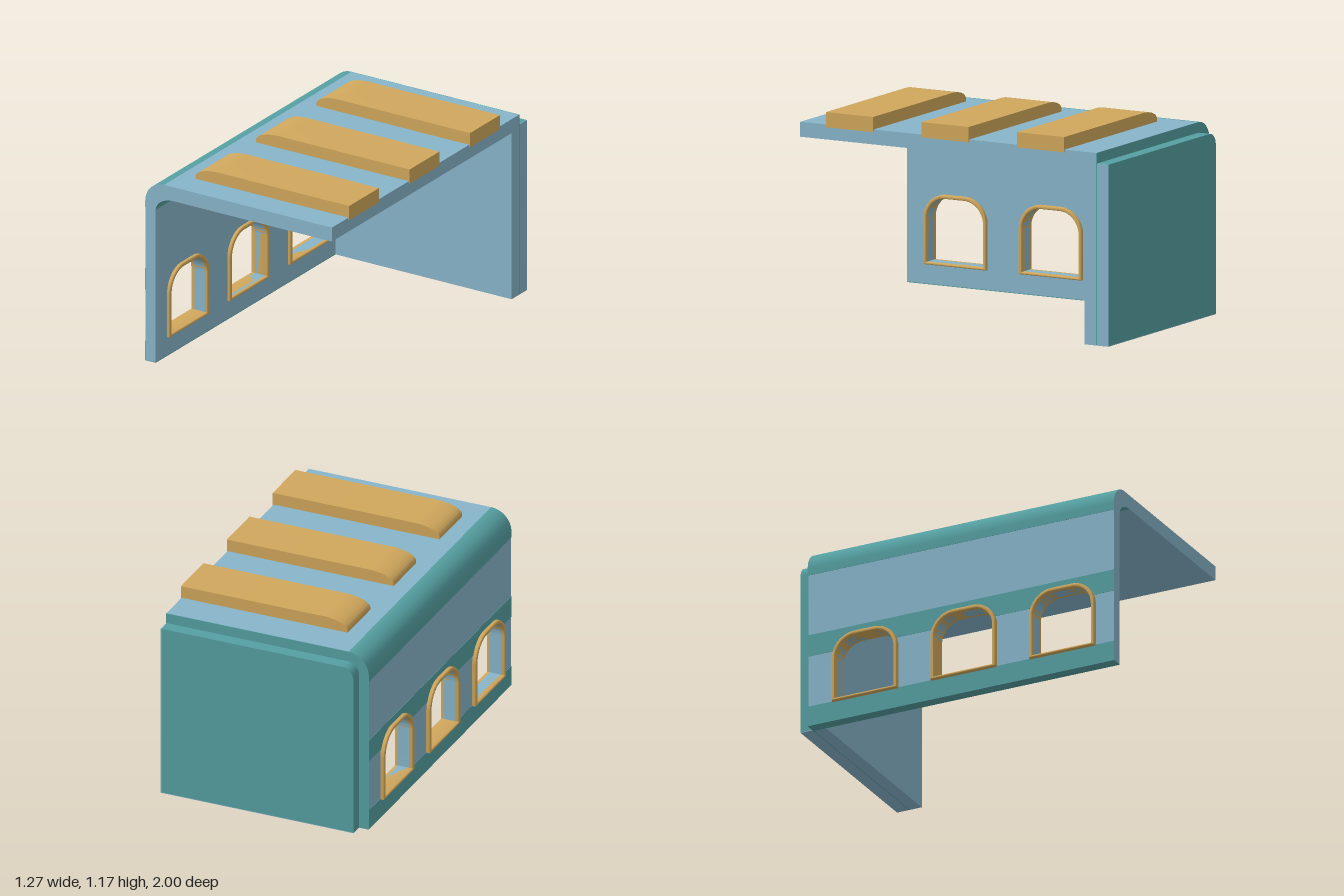
import * as THREE from 'three';
import { toCreasedNormals } from 'three/addons/utils/BufferGeometryUtils.js';

const blue = new THREE.MeshStandardMaterial({ color: 0x87b5ca });
const teal = new THREE.MeshStandardMaterial({ color: 0x559fa1 });
const tan = new THREE.MeshStandardMaterial({ color: 0xd0a75c });

const X0 = -0.615, X1 = 0.63;         // outer wall face, open edge
const WALL_IN = -0.545;               // inner wall face
const TOP = 1.095, CEIL = 1.01;       // roof top and underside
const Z0 = -0.925, Z1 = 1, SKIN = 0.004;
const BAYS = [0.68, 0.06, -0.56];     // window and rib centres along z

function add(parent, name, geometry, material) {
  const mesh = new THREE.Mesh(geometry, material);
  mesh.name = name;
  parent.add(mesh);
  return mesh;
}

function box(x0, x1, y0, y1, z0, z1) {
  return new THREE.BoxGeometry(x1 - x0, y1 - y0, z1 - z0)
    .translate((x0 + x1) / 2, (y0 + y1) / 2, (z0 + z1) / 2);
}

// Front-facing profile (x, y), extruded from z0 to z1
function alongZ(shape, z0, z1) {
  const g = new THREE.ExtrudeGeometry(shape, { depth: z1 - z0, bevelEnabled: false, curveSegments: 16 });
  return toCreasedNormals(g.translate(0, 0, z0), 0.6);
}

// Side profile (z, y), extruded from x0 to x1, with an optional rounded edge
function alongX(shape, x0, x1, bevel = 0) {
  const g = new THREE.ExtrudeGeometry(shape, {
    depth: x1 - x0 - 2 * bevel, bevelEnabled: bevel > 0, bevelThickness: bevel,
    bevelSize: bevel, bevelOffset: -bevel, bevelSegments: 3, curveSegments: 12,
  });
  return toCreasedNormals(g.rotateY(-Math.PI / 2).translate(x1 - bevel, 0, 0), 0.6);
}

function polygon(points) {
  return new THREE.Shape(points.map(([x, y]) => new THREE.Vector2(x, y)));
}

// Window opening with a square foot and rounded shoulders
function archPath(Type, c, half, y0, y1, r) {
  const p = new Type();
  p.moveTo(c - half, y0);
  p.lineTo(c + half, y0);
  p.lineTo(c + half, y1 - r);
  p.absarc(c + half - r, y1 - r, r, 0, Math.PI / 2, false);
  p.lineTo(c - half + r, y1);
  p.absarc(c - half + r, y1 - r, r, Math.PI / 2, Math.PI, false);
  p.closePath();
  return p;
}
const outerArch = (Type, c) => archPath(Type, c, 0.205, 0.115, 0.52, 0.145);
const innerArch = (Type, c) => archPath(Type, c, 0.183, 0.13, 0.498, 0.123);

// Upright plate with its upper left corner rounded
function plateShape(x0, x1, y0, y1, r) {
  const s = new THREE.Shape();
  s.moveTo(x0, y0);
  s.lineTo(x1, y0);
  s.lineTo(x1, y1);
  s.lineTo(x0 + r, y1);
  s.absarc(x0 + r, y1 - r, r, Math.PI / 2, Math.PI, false);
  s.closePath();
  return s;
}

export function createModel() {
  const model = new THREE.Group();
  model.name = 'shelter';
  const zBack = Z0 + SKIN;

  // Side wall with three openings
  const wall = polygon([[zBack, SKIN], [Z1, SKIN], [Z1, 0.93], [zBack, 0.93]]);
  BAYS.forEach((c) => wall.holes.push(innerArch(THREE.Path, c)));
  add(model, 'sideWall', alongX(wall, X0 + 0.002, WALL_IN), blue);
  add(model, 'wallFoot', box(X0, WALL_IN, 0, SKIN, zBack, Z1), teal);

  // Painted bands on the outside of the wall
  add(model, 'lowerBand', box(X0, X0 + 0.003, SKIN, 0.12, zBack, Z1), teal);
  const bandLow = 0.43;
  const lowerEdge = [[zBack, bandLow]];
  [...BAYS].reverse().forEach((c) => {
    outerArch(THREE.Path, c).getPoints(12)
      .filter((p) => p.y > bandLow)
      .sort((a, b) => a.x - b.x)
      .forEach((p, i, all) => {
        if (i === 0) lowerEdge.push([p.x, bandLow]);
        lowerEdge.push([p.x, p.y]);
        if (i === all.length - 1) lowerEdge.push([p.x, bandLow]);
      });
  });
  // drop repeated points where arcs meet lines
  const edge = lowerEdge.filter((p, i) => i === 0
    || Math.hypot(p[0] - lowerEdge[i - 1][0], p[1] - lowerEdge[i - 1][1]) > 1e-6);
  const band = polygon([...edge, [Z1, bandLow], [Z1, 0.56], [zBack, 0.56]]);
  add(model, 'upperBand', alongX(band, X0, X0 + 0.003), teal);

  // Rounded corner between wall and roof
  const corner = new THREE.Shape();
  corner.moveTo(X0, 0.93);
  corner.lineTo(WALL_IN, 0.93);
  corner.absellipse(WALL_IN + 0.12, 0.93, 0.12, CEIL - 0.93, Math.PI, Math.PI / 2, true);
  corner.lineTo(X0 + 0.125, TOP);
  corner.absarc(X0 + 0.125, TOP - 0.125, 0.125, Math.PI / 2, Math.PI, false);
  corner.closePath();
  add(model, 'roofCorner', alongZ(corner, zBack, Z1), [blue, teal]);

  // Flat roof
  const roof = polygon([[WALL_IN + 0.12, CEIL], [X1, CEIL], [X1, TOP], [X0 + 0.125, TOP]]);
  add(model, 'roof', alongZ(roof, zBack, Z1), blue);

  // Back wall, its rear facing and the smaller stepped panel behind it
  add(model, 'backWall', box(WALL_IN, X1, 0, CEIL, zBack, -0.845), blue);
  add(model, 'backFacing', alongZ(plateShape(X0, X1, 0, TOP, 0.125), Z0, zBack), teal);
  add(model, 'backPanel', alongZ(plateShape(-0.555, X1 - SKIN, SKIN, 1.035, 0.07), -1, Z0), teal);
  add(model, 'backPanelFoot', box(-0.555, X1, 0, SKIN, -1, Z0), blue);
  add(model, 'backPanelEdge', box(X1 - SKIN, X1, SKIN, 1.035, -1, Z0), blue);

  // Roof rib with a rounded outer end
  const rib = new THREE.Shape();
  rib.moveTo(-0.39, 1.08);
  rib.lineTo(0.635, 1.08);
  rib.lineTo(0.635, 1.167);
  rib.lineTo(-0.24, 1.167);
  rib.bezierCurveTo(-0.32, 1.167, -0.39, 1.14, -0.39, 1.11);
  rib.closePath();

  // Window frames and roof ribs, one of each per bay
  BAYS.forEach((c, i) => {
    const frame = outerArch(THREE.Shape, c);
    frame.holes.push(innerArch(THREE.Path, c));
    add(model, `windowFrame${i + 1}`, alongX(frame, -0.638, -0.525, 0.007), tan);
    add(model, `roofRib${i + 1}`, alongZ(rib, c - 0.156, c + 0.15), tan);
  });

  return model;
}
